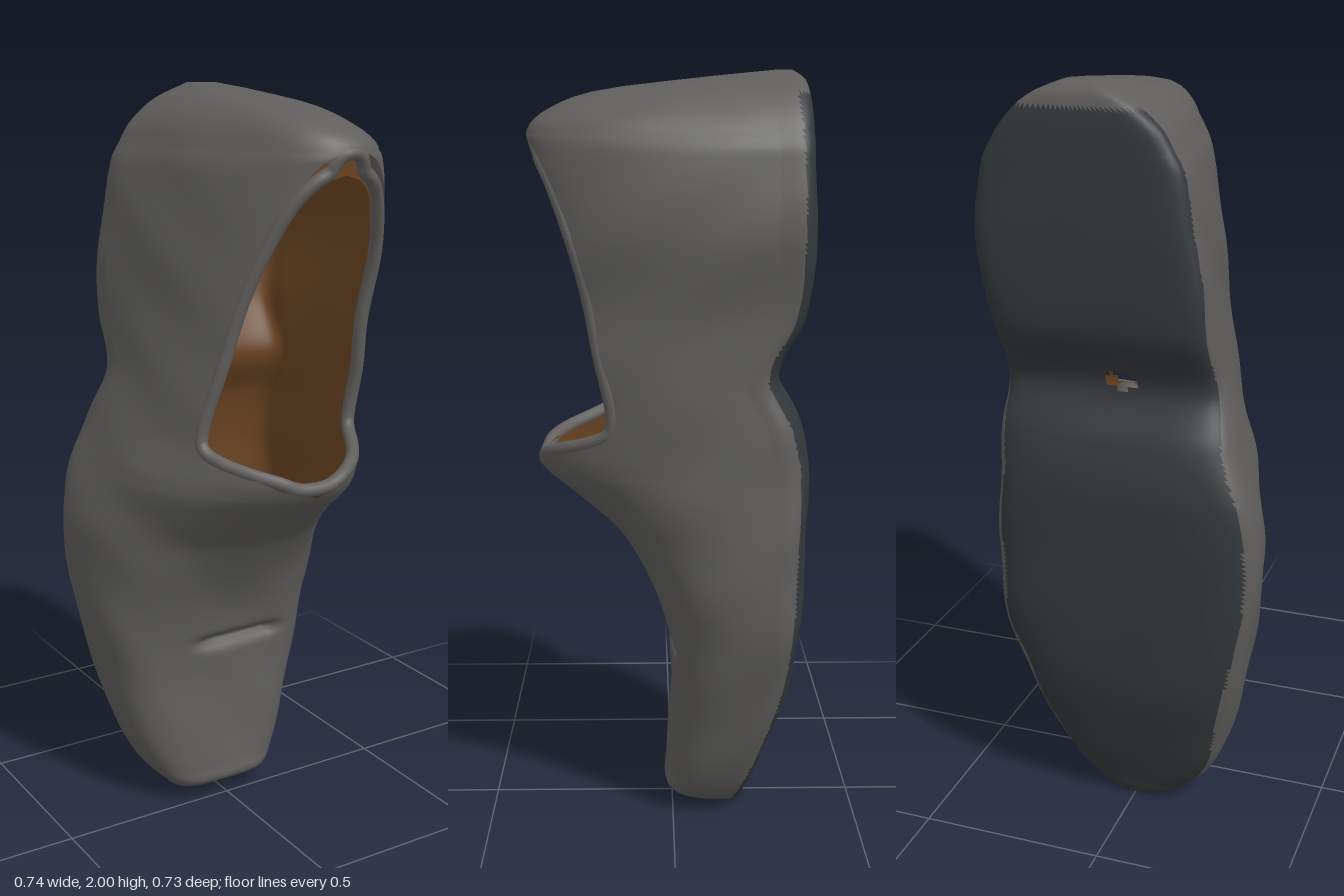
import * as THREE from 'three';
import { mergeVertices } from 'three/addons/utils/BufferGeometryUtils.js';

// Shoe standing on its toe: height, left edge, right edge, sole z, front z
const SECTIONS = [
  [0, -.06, .06, -.19, -.13], [.02, -.12, .11, -.2, -.06], [.05, -.16, .15, -.21, .012],
  [.1, -.205, .185, -.23, .014], [.2, -.255, .23, -.265, .008], [.4, -.305, .295, -.322, .002],
  [.6, -.345, .345, -.345, .035], [.8, -.367, .347, -.352, .145], [.9, -.355, .342, -.356, .25],
  [1, -.33, .335, -.355, .36], [1.12, -.29, .335, -.33, .365], [1.25, -.25, .333, -.27, .365],
  [1.4, -.235, .335, -.335, .365], [1.6, -.215, .365, -.352, .365], [1.8, -.175, .345, -.347, .367],
  [1.85, -.15, .32, -.345, .367], [1.9, -.12, .285, -.342, .32], [1.95, -.06, .235, -.335, .19],
  [1.98, 0, .185, -.325, -.05], [2, .05, .13, -.3, -.25],
];
// Height and z of the rim around the foot opening
const RIM = [[1, .355], [1.04, .31], [1.09, .18], [1.14, .155], [1.3, .185], [1.5, .225], [1.7, .29], [1.8, .338], [1.845, .367]];
const SEGMENTS = 96, WALL = .035, ARCH = .05;
const ramp = THREE.MathUtils.smoothstep;

// Smooth interpolation through keyed rows
function sample(keys, y, col) {
  let i = 0;
  while (i < keys.length - 2 && y > keys[i + 1][0]) i++;
  const slope = k => {
    const a = keys[Math.max(k - 1, 0)], b = keys[Math.min(k + 1, keys.length - 1)];
    return (b[col] - a[col]) / (b[0] - a[0]);
  };
  const p = keys[i], q = keys[i + 1], h = q[0] - p[0];
  const t = THREE.MathUtils.clamp((y - p[0]) / h, 0, 1), t2 = t * t, t3 = t2 * t;
  return p[col] * (2 * t3 - 3 * t2 + 1) + h * slope(i) * (t3 - 2 * t2 + t)
    + q[col] * (3 * t2 - 2 * t3) + h * slope(i + 1) * (t3 - t2);
}

// Horizontal section: flat sole behind, domed upper leaning left in front, opened down to the rim
function section(y, inset, soleInset) {
  const xl = sample(SECTIONS, y, 1) + inset, xr = sample(SECTIONS, y, 2) - inset;
  const zb = sample(SECTIONS, y, 3) + soleInset, zf = sample(SECTIONS, y, 4) - inset;
  const zm = zb + Math.min(.1, (zf - zb) / 2), cx = (xl + xr) / 2, hw = (xr - xl) / 2;
  const nFront = 3.6 - 1.5 * ramp(y, .3, .9) + .25 * ramp(y, 1.05, 1.4);
  const nBack = 3 + .5 * ramp(y, .3, .8) + 3 * ramp(y, 1.1, 1.5);
  const lean = .055 * ramp(y, .5, .95) * (1 - ramp(y, 1.86, 1.98));
  let gap = 0;
  if (y >= 1 && y <= 1.845) {
    const t = Math.min(1, (sample(RIM, y, 1) - zm) / (zf - zm));
    gap = Math.atan2((1 - t ** nFront) ** (1 / nFront), t);
  }
  const at = u => {
    const a = gap + (2 * Math.PI - 2 * gap) * u, s = Math.sin(a), c = Math.cos(a);
    const n = c > 0 ? nFront : nBack;
    const r = (Math.abs(s) ** n + Math.abs(c) ** n) ** (-1 / n);
    const x = cx + hw * s * r + lean * Math.max(0, c * r);
    return new THREE.Vector3(x, y, zm + (c > 0 ? zf - zm : zm - zb) * c * r);
  };
  return { at, center: new THREE.Vector3(cx, y, (zb + zf) / 2) };
}

// Crease across the toe and a slight handmade unevenness
function weather(p) {
  if (p.z > -.12) {
    const across = 1 - ramp(Math.abs(p.x - .04), .08, .17);
    p.z -= .035 * across * Math.exp(-(((p.y - .485) / .016) ** 2));
  }
  p.x += .002 * Math.sin(p.y * 23 + p.z * 17);
  p.z += .002 * Math.sin(p.y * 19 + p.x * 21) * (p.y > .05 ? 1 : 0);
  return p;
}

function shell(y0, y1, rows, inset, soleInset, inward) {
  const pos = [], index = [];
  for (let i = -1; i <= rows + 1; i++) {
    const y = y0 + (y1 - y0) * THREE.MathUtils.clamp(i / rows, 0, 1);
    const { at, center } = section(y, inset, soleInset);
    for (let j = 0; j <= SEGMENTS; j++) {
      const capped = i < 0 || i > rows;
      const p = capped ? center.clone() : at(j / SEGMENTS);
      if (!inward && !capped) weather(p);
      pos.push(p.x, p.y, p.z);
    }
  }
  const w = SEGMENTS + 1;
  for (let i = 0; i < rows + 2; i++) for (let j = 0; j < SEGMENTS; j++) {
    const a = i * w + j, b = a + 1, c = a + w, d = c + 1;
    // Small worn hole through the arch
    const mid = k => (pos[a * 3 + k] + pos[d * 3 + k]) / 2;
    if (mid(2) < -.1 && Math.hypot(mid(0) / .043, (mid(1) - 1.27) / .024) < 1) continue;
    index.push(...(inward ? [a, c, b, b, c, d] : [a, b, c, b, d, c]));
  }
  let geo = new THREE.BufferGeometry();
  geo.setAttribute('position', new THREE.Float32BufferAttribute(pos, 3));
  geo.setIndex(index);
  geo = mergeVertices(geo, 1e-5);
  geo.computeVertexNormals();
  return geo;
}

// Keep only the triangles that pass a test on their centre
function subset(geo, test) {
  const p = geo.attributes.position, src = geo.index.array, index = [];
  for (let i = 0; i < src.length; i += 3) {
    const t = [src[i], src[i + 1], src[i + 2]];
    const y = t.reduce((s, k) => s + p.getY(k) / 3, 0), z = t.reduce((s, k) => s + p.getZ(k) / 3, 0);
    if (test(y, z)) index.push(...t);
  }
  return geo.clone().setIndex(index);
}

export function createModel() {
  const group = new THREE.Group();
  const add = (name, geo, color) => {
    const mesh = new THREE.Mesh(geo, new THREE.MeshStandardMaterial({ color, side: THREE.DoubleSide }));
    mesh.name = name;
    group.add(mesh);
    return mesh;
  };

  // Outer leather and sole share one smooth skin
  const skin = shell(0, 2, 150, 0, 0, false);
  const isSole = (y, z) => y < 1.94 && z < sample(SECTIONS, y, 3) + .035;
  add('upper', subset(skin, (y, z) => !isSole(y, z)), 0x5f5e5c);
  add('sole', subset(skin, isSole), 0x35393b);

  // Brown lining of the foot cavity
  add('lining', shell(.55, 1.87, 100, WALL, ARCH, true), 0x6a4422);

  // Thin rounded rim around the opening
  const left = [], right = [];
  for (let k = 0; k <= 40; k++) {
    const y = 1.01 + .832 * k / 40;
    const outer = section(y, 0, 0), inner = section(y, WALL, ARCH);
    right.push(outer.at(0).lerp(inner.at(0), .5));
    left.push(outer.at(1).lerp(inner.at(1), .5));
  }
  const path = new THREE.CatmullRomCurve3([...left, ...right.reverse()], true);
  add('openingRim', new THREE.TubeGeometry(path, 200, .018, 10, true), 0x62605d);

  // Small lump on the insole below the hole
  const lump = add('insoleLump', new THREE.SphereGeometry(1, 20, 14), 0x5a554f);
  lump.scale.set(.05, .06, .04);
  lump.position.set(0, 1.19, -.22);

  return group;
}
